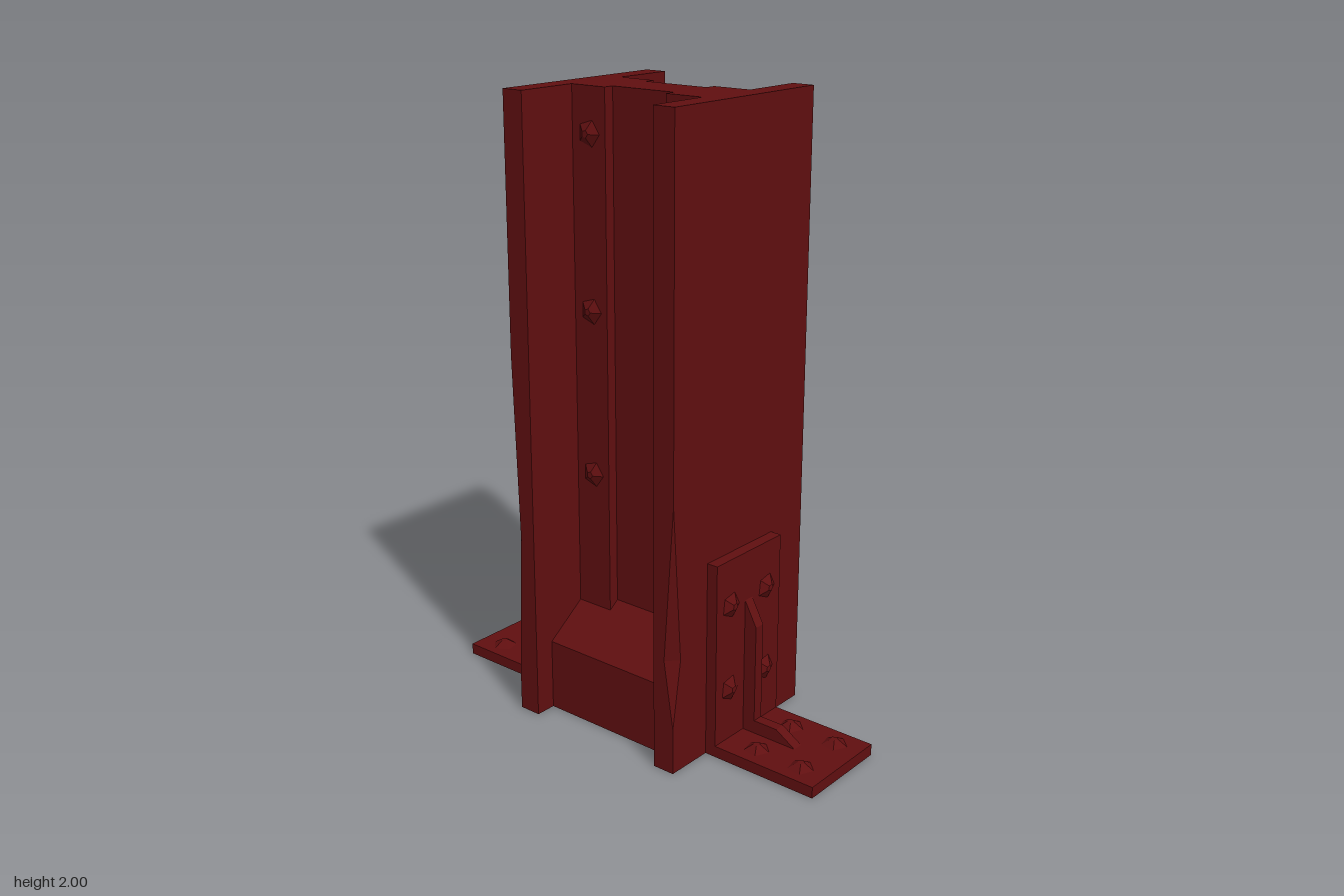
import * as THREE from 'three';

const darkRed = new THREE.MeshStandardMaterial({ color: 0x600f10, flatShading: true });
darkRed.name = 'darkRed';

function add(parent, name, geometry) {
  const mesh = new THREE.Mesh(geometry, darkRed);
  mesh.name = name;
  parent.add(mesh);
  return mesh;
}

function box(parent, name, x0, x1, y0, y1, z0, z1) {
  const mesh = add(parent, name, new THREE.BoxGeometry(x1 - x0, y1 - y0, z1 - z0));
  mesh.position.set((x0 + x1) / 2, (y0 + y1) / 2, (z0 + z1) / 2);
}

// Straight prism from an outline, centred on its depth
function prism(points, depth) {
  const shape = new THREE.Shape(points.map(p => new THREE.Vector2(...p)));
  return new THREE.ExtrudeGeometry(shape, { depth, bevelEnabled: false }).translate(0, 0, -depth / 2);
}

// Low five-sided bolt head pointing along a direction
function bolt(parent, position, direction, turn) {
  const geometry = new THREE.CylinderGeometry(0.012, 0.042, 0.018, 5).rotateY(turn).translate(0, 0.009, 0);
  const mesh = add(parent, 'bolt', geometry);
  mesh.position.set(...position);
  mesh.quaternion.setFromUnitVectors(new THREE.Vector3(0, 1, 0), new THREE.Vector3(...direction));
}

// Flange slab whose outer corners are worn; a dent is [low, peak, high, depth]
function flange(side, frontDent, backDent) {
  const wear = (dent, y) => {
    if (!dent) return 0;
    const [low, peak, high, depth] = dent;
    const t = y < peak ? (y - low) / (peak - low) : (high - y) / (high - peak);
    return depth * Math.max(0, t);
  };
  const levels = [0, 2];
  for (const dent of [frontDent, backDent]) if (dent) levels.push(...dent.slice(0, 3));
  levels.sort((a, b) => a - b);

  const rings = levels.map(y => {
    const f = wear(frontDent, y), b = wear(backDent, y);
    return [
      [0.32 - f, 0.32], [0.32, 0.32 - f], [0.32, b - 0.32],
      [0.32 - b, -0.32], [0.245, -0.32], [0.245, 0.32],
    ].map(([x, z]) => [side * x, y, z]);
  });
  const positions = [];
  const triangle = (a, b, c) => positions.push(...a, ...(side > 0 ? b : c), ...(side > 0 ? c : b));
  for (let k = 0; k < rings.length - 1; k++) {
    for (let i = 0; i < 6; i++) {
      const j = (i + 1) % 6;
      triangle(rings[k][i], rings[k][j], rings[k + 1][j]);
      triangle(rings[k][i], rings[k + 1][j], rings[k + 1][i]);
    }
  }
  const top = rings[rings.length - 1], bottom = rings[0];
  for (let i = 1; i < 5; i++) {
    triangle(top[0], top[i], top[i + 1]);
    triangle(bottom[0], bottom[i + 1], bottom[i]);
  }
  const geometry = new THREE.BufferGeometry();
  geometry.setAttribute('position', new THREE.Float32BufferAttribute(positions, 3));
  geometry.computeVertexNormals();
  return geometry;
}

export function createModel() {
  const model = new THREE.Group();
  model.name = 'steelColumn';

  // Side flanges with worn edges
  add(model, 'leftFlange', flange(1, [0.15, 0.37, 0.87, 0.035], null));
  add(model, 'rightFlange', flange(-1, [0.15, 0.6, 1.2, 0.02], [0.5, 1.15, 1.65, 0.018]));

  // Central web with a shallow channel front and back
  const web = prism([
    [-0.245, -0.11], [-0.115, -0.11], [-0.115, -0.075], [0.115, -0.075], [0.115, -0.11], [0.245, -0.11],
    [0.245, 0.11], [0.115, 0.11], [0.115, 0.075], [-0.115, 0.075], [-0.115, 0.11], [-0.245, 0.11],
  ], 2);
  add(model, 'web', web.rotateX(-Math.PI / 2).translate(0, 1, 0));

  // Foot block with sloping shoulders between the flanges
  const foot = prism([
    [-0.25, 0], [0.25, 0], [0.25, 0.235], [0.075, 0.36], [-0.075, 0.36], [-0.25, 0.235],
  ], 0.49);
  add(model, 'footBlock', foot.rotateY(Math.PI / 2));

  // Bolts down both faces of the web
  for (const face of [-1, 1])
    for (const x of [-0.18, 0.18])
      for (const y of [0.79, 1.32, 1.86])
        bolt(model, [x, y, face * 0.11], [0, 0, face], 0.3);

  // Angle brackets on both sides
  for (const side of [1, -1]) {
    const bracket = new THREE.Group();
    bracket.name = side > 0 ? 'leftBracket' : 'rightBracket';
    box(bracket, 'uprightPlate', 0.32, 0.357, 0, 0.64, -0.16, 0.16);
    box(bracket, 'basePlate', 0.32, 0.72, 0, 0.037, -0.16, 0.16);
    add(bracket, 'gusset', prism([
      [0.35, 0.03], [0.56, 0.03], [0.555, 0.037], [0.485, 0.08],
      [0.4, 0.08], [0.4, 0.4], [0.357, 0.48], [0.35, 0.48],
    ], 0.036));
    for (const z of [-0.09, 0.09]) {
      for (const x of [0.465, 0.63]) bolt(bracket, [x, 0.037, z], [0, 1, 0], 0.5);
      for (const y of [0.21, 0.49]) bolt(bracket, [0.357, y, z], [1, 0, 0], 0.5);
    }
    if (side < 0) bracket.rotation.y = Math.PI;
    model.add(bracket);
  }

  return model;
}
